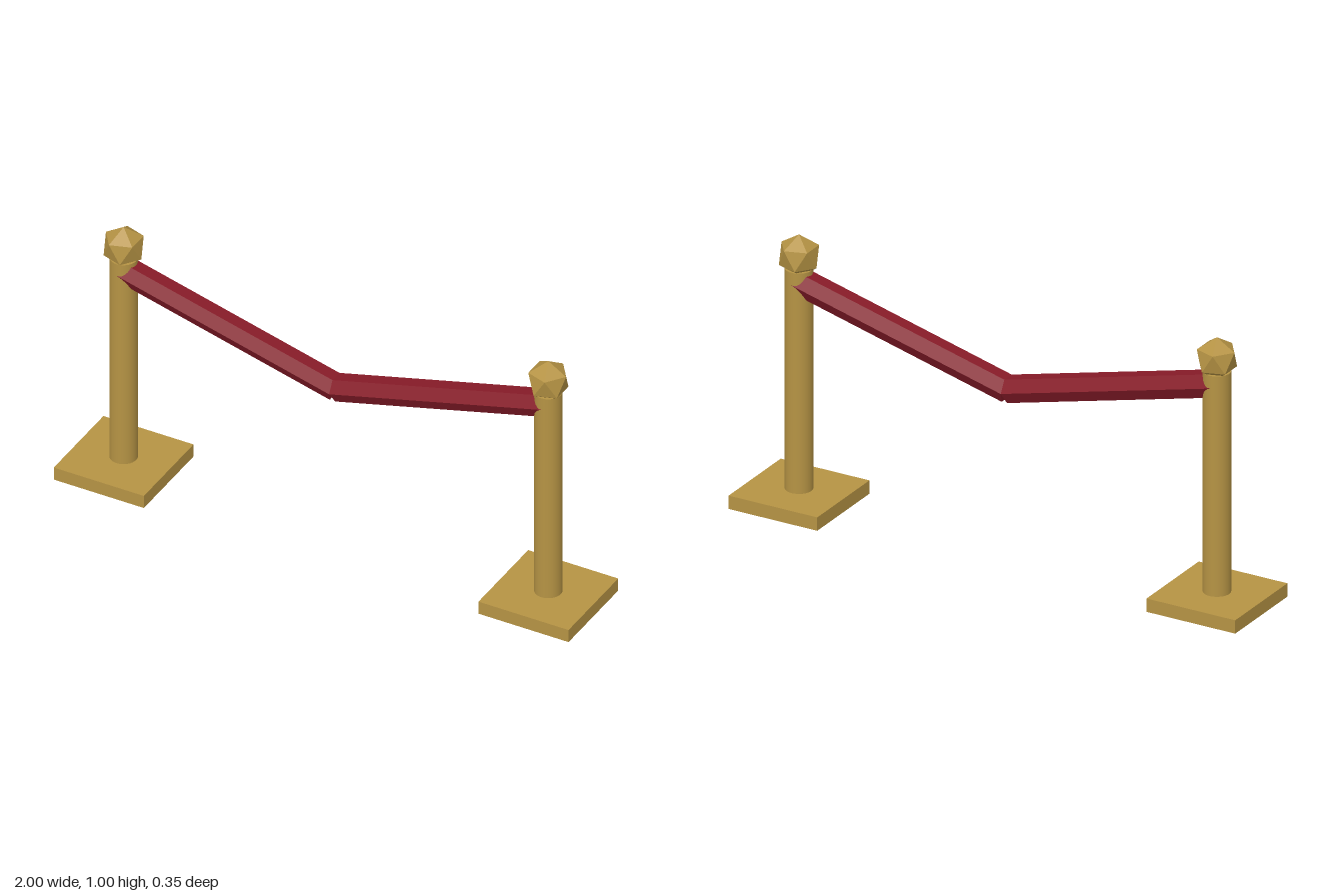
import * as THREE from 'three';

export function createModel() {
  const root = new THREE.Group();
  root.name = 'ropeBarrier';

  const makeMaterial = (name, color) => {
    const material = new THREE.MeshStandardMaterial({ color });
    material.name = name;
    return material;
  };
  const brass = makeMaterial('brass', 0xb59344);
  const velvet = makeMaterial('redVelvet', 0x871b28);
  const felt = makeMaterial('darkFelt', 0x4a3a29);

  const add = (parent, name, geometry, material, x, y) => {
    const mesh = new THREE.Mesh(geometry, material);
    mesh.name = name;
    mesh.position.set(x, y, 0);
    parent.add(mesh);
    return mesh;
  };

  // Faceted finial, turned so that one corner points straight up
  const finialRadius = 0.077;
  const finial = new THREE.IcosahedronGeometry(finialRadius, 0);
  finial.rotateZ(-Math.atan2(1, (1 + Math.sqrt(5)) / 2));

  // Rope half: straight six-sided bar from the post down to the middle
  const postX = 0.825;
  const ropeLow = 0.614;
  const ropeHigh = 0.827;
  const ropeLength = Math.hypot(postX, ropeHigh - ropeLow);
  const rope = new THREE.CylinderGeometry(0.0491, 0.0491, ropeLength, 6).toNonIndexed();
  rope.computeVertexNormals();

  // Base: brass on the top and sides, dark felt underneath
  const baseMaterials = [brass, brass, brass, felt, brass, brass];

  // Each half is the other turned half way round
  for (const [side, turn] of [['left', 0], ['right', Math.PI]]) {
    const half = new THREE.Group();
    half.name = side + 'Half';
    half.rotation.y = turn;
    root.add(half);

    add(half, 'base', new THREE.BoxGeometry(0.35, 0.05, 0.35), baseMaterials, postX, 0.025);
    add(half, 'post', new THREE.CylinderGeometry(0.0488, 0.0488, 0.825, 32), brass, postX, 0.4625);
    add(half, 'finial', finial, brass, postX, 1 - finialRadius);

    const bar = add(half, 'rope', rope, velvet, postX / 2, (ropeLow + ropeHigh) / 2);
    bar.rotation.z = -Math.atan2(postX, ropeHigh - ropeLow);
  }
  return root;
}
